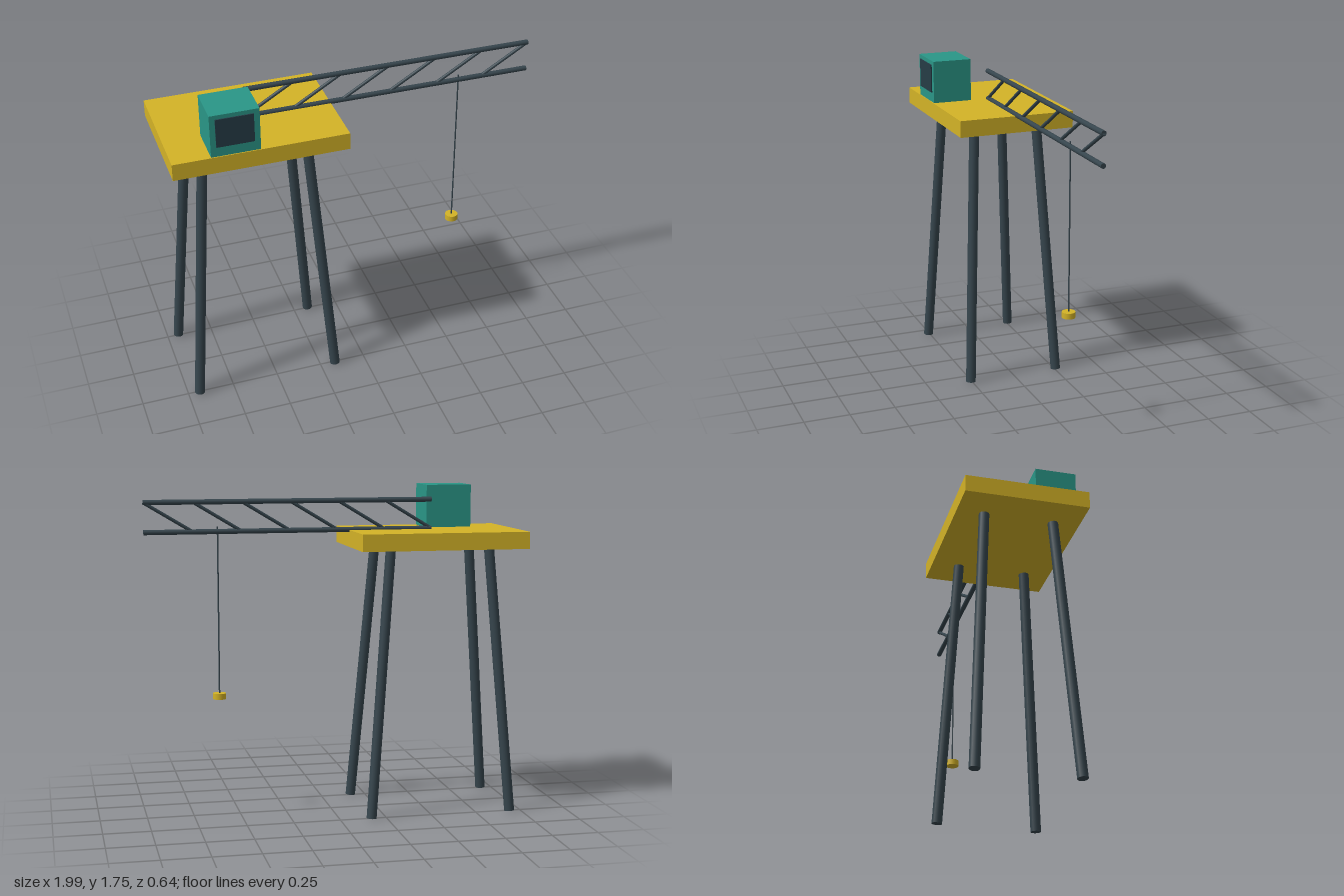
import * as THREE from 'three';

const paint = (color) => new THREE.MeshStandardMaterial({ color });

export function createModel() {
  const model = new THREE.Group();
  const yellow = paint(0xd4b327);
  const teal = paint(0x2a9687);
  const steel = paint(0x36454d);
  const glass = paint(0x263c46);

  const add = (parent, name, geometry, material) => {
    const mesh = new THREE.Mesh(geometry, material);
    mesh.name = name;
    parent.add(mesh);
    return mesh;
  };

  // Box given by its lower and upper corners
  const box = (parent, name, lo, hi, material) => {
    const a = new THREE.Vector3(...lo), b = new THREE.Vector3(...hi);
    const s = b.clone().sub(a);
    add(parent, name, new THREE.BoxGeometry(s.x, s.y, s.z), material)
      .position.copy(a.add(b).multiplyScalar(0.5));
  };

  // Round bar between two points
  const bar = (parent, name, from, to, radius, material, sides = 16) => {
    const a = new THREE.Vector3(...from), b = new THREE.Vector3(...to);
    const dir = b.clone().sub(a);
    const mesh = add(parent, name, new THREE.CylinderGeometry(radius, radius, dir.length(), sides), material);
    mesh.quaternion.setFromUnitVectors(new THREE.Vector3(0, 1, 0), dir.normalize());
    mesh.position.copy(a.add(b).multiplyScalar(0.5));
  };

  const group = (name) => {
    const g = new THREE.Group();
    g.name = name;
    model.add(g);
    return g;
  };

  // Deck
  box(model, 'platform', [-1, 1.43, -0.32], [-0.1, 1.52, 0.32], yellow);

  // Four splayed legs
  const legs = group('legs');
  const centreX = -0.553;
  for (const sx of [-1, 1]) {
    for (const sz of [-1, 1]) {
      bar(legs, 'leg',
        [centreX + sx * 0.385, 0.002, sz * 0.257],
        [centreX + sx * 0.27, 1.42, sz * 0.18], 0.027, steel);
    }
  }

  // Operator cab with front window
  const cab = group('cab');
  box(cab, 'cabBody', [-0.805, 1.52, 0.1], [-0.555, 1.75, 0.315], teal);
  box(cab, 'cabWindow', [-0.777, 1.574, 0.305], [-0.585, 1.728, 0.321], glass);

  // Boom: two chords joined by slanted braces
  const boom = group('boom');
  const x0 = -0.552, x1 = 0.99, low = 1.523, high = 1.678, bays = 6;
  bar(boom, 'lowerChord', [x0, low, 0], [x1, low, 0], 0.0135, steel);
  bar(boom, 'upperChord', [x0, high, 0], [x1, high, 0], 0.0135, steel);
  const step = (x1 - x0) / bays;
  for (let i = 0; i < bays; i++) {
    bar(boom, 'brace', [x0 + i * step, low, 0], [x0 + (i + 1) * step, high, 0], 0.009, steel, 12);
  }

  // Hoist cable and weight
  const hoist = group('hoist');
  bar(hoist, 'cable', [0.605, 0.65, 0], [0.605, 1.55, 0], 0.004, steel, 8);
  bar(hoist, 'hookBlock', [0.605, 0.633, 0], [0.605, 0.664, 0], 0.035, yellow, 16);

  return model;
}
